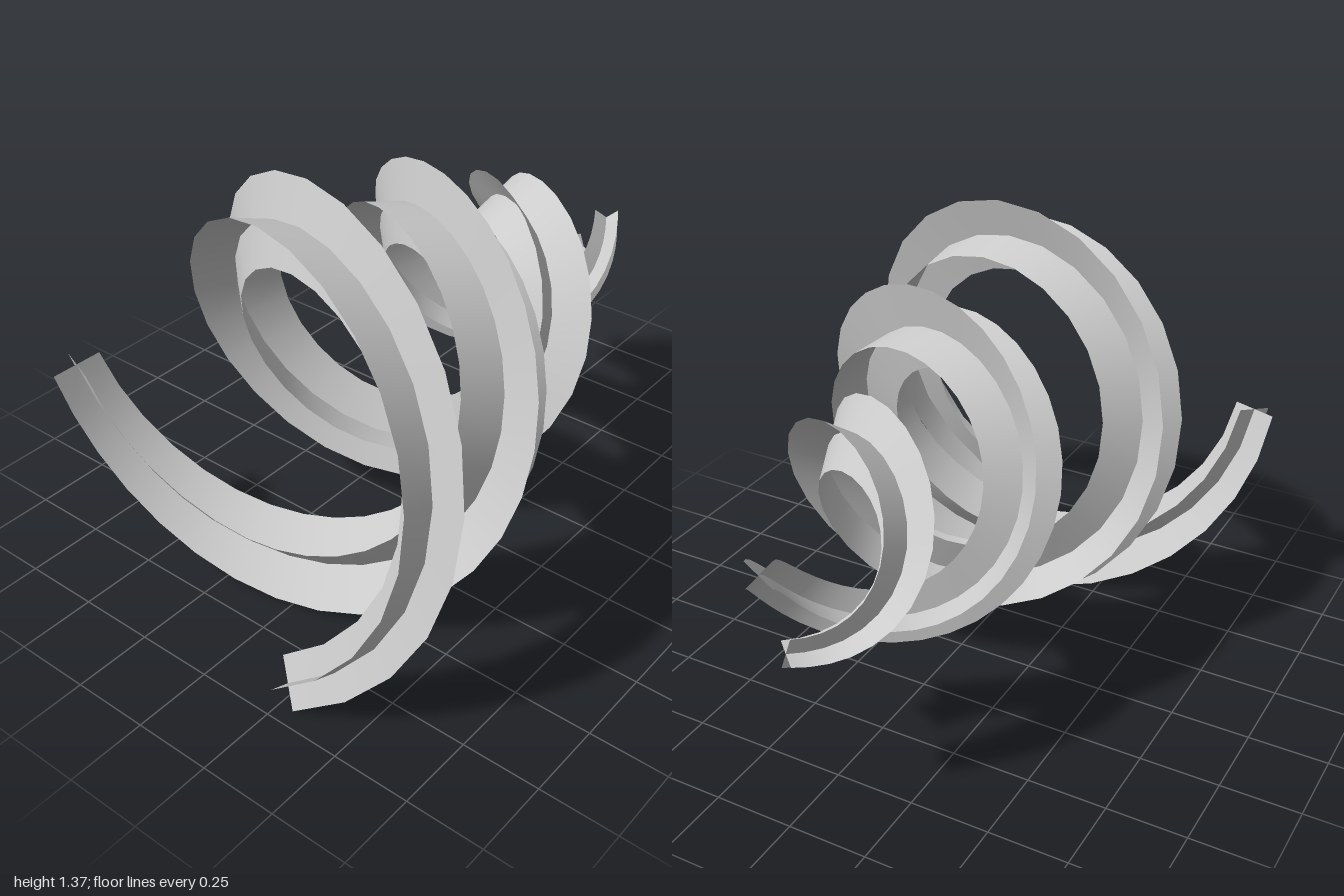
import * as THREE from 'three';

const AXIS_Y = 0.72;
const STEPS = 48;
const QUARTER = Math.PI / 2;

// Two tapering helices around the x axis; angles in quarter turns from the front.
const strands = [
  {
    name: 'longStrand', from: -0.75, turns: 7.75, x: [-0.922, 0.962], r: [0.68, 0.12], roll: -21,
    size: [0.08, 0.131, 0.134, 0.127, 0.1, 0.052],
  },
  {
    name: 'shortStrand', from: 2, turns: 6.3, x: [-0.79, 0.905], r: [0.675, 0.13], roll: 20,
    size: [0.076, 0.152, 0.145, 0.118, 0.085, 0.055],
  },
];

// Stations along a strand: centre, two section axes and half width.
// The section rolls slowly around the path as it advances, like a twist-free sweep.
function stations({ from, turns, x, r, roll, size }) {
  const widths = new THREE.SplineCurve(size.map((s, i) => new THREE.Vector2(i, s)));
  const sweep = turns * QUARTER;
  const pitch = (x[1] - x[0]) / sweep;
  const taper = (r[1] - r[0]) / sweep;
  let phi = THREE.MathUtils.degToRad(roll);
  const list = [];
  for (let i = 0; i <= STEPS; i++) {
    const t = i / STEPS;
    const a = from * QUARTER + sweep * t;
    const radius = THREE.MathUtils.lerp(r[0], r[1], t);
    const s = Math.sin(a), c = Math.cos(a);
    const centre = new THREE.Vector3(THREE.MathUtils.lerp(x[0], x[1], t), AXIS_Y + radius * s, radius * c);
    const tangent = new THREE.Vector3(pitch, radius * c + taper * s, -radius * s + taper * c).normalize();
    const side = tangent.clone().cross(new THREE.Vector3(0, s, c)).normalize();
    const out = side.clone().cross(tangent);
    list.push({ centre, side, out, phi, half: widths.getPoint(t).y });
    phi += (pitch / Math.hypot(pitch, radius)) * (sweep / STEPS);
  }
  return list;
}

// One thin plate of the cross-shaped section, swept along the stations.
function ribbon(list, turn, material) {
  const pos = [], index = [];
  list.forEach(({ centre, side, out, phi, half }, i) => {
    const dir = out.clone().multiplyScalar(Math.cos(phi + turn)).addScaledVector(side, Math.sin(phi + turn));
    for (const k of [-1, 0, 1]) pos.push(...centre.clone().addScaledVector(dir, k * half).toArray());
    if (i === 0) return;
    for (const j of [0, 1]) {
      const b = i * 3 + j, a = b - 3;
      index.push(a, b, a + 1, a + 1, b, b + 1);
    }
  });
  const geo = new THREE.BufferGeometry();
  geo.setAttribute('position', new THREE.Float32BufferAttribute(pos, 3));
  geo.setIndex(index);
  geo.computeVertexNormals();
  return new THREE.Mesh(geo, material);
}

export function createModel() {
  const model = new THREE.Group();
  model.name = 'doubleSpiral';
  const material = new THREE.MeshStandardMaterial({ color: 0xcccccc, side: THREE.DoubleSide });
  for (const strand of strands) {
    const group = new THREE.Group();
    group.name = strand.name;
    const list = stations(strand);
    // Two plates crossing at right angles
    ['fin', 'crossFin'].forEach((name, i) => {
      const mesh = ribbon(list, i * QUARTER, material);
      mesh.name = name;
      group.add(mesh);
    });
    model.add(group);
  }
  return model;
}
